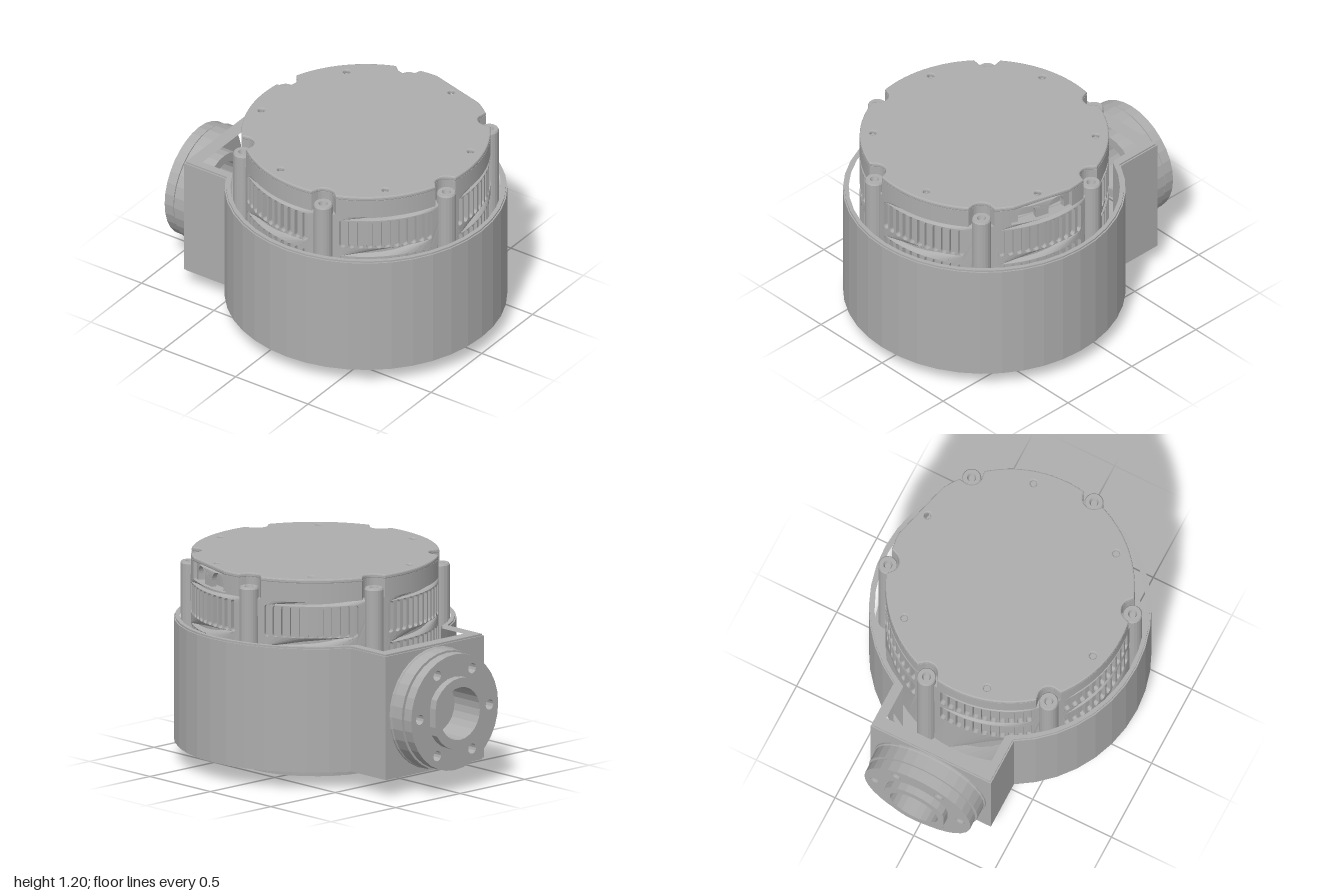
import * as THREE from 'three';

const DEG = Math.PI / 180;
const AXIS_Z = 0.2; // main axis of the round body
const grey = new THREE.MeshStandardMaterial({ color: 0xadadad, flatShading: true });
grey.name = 'machined grey';

function add(parent, name, geometry) {
  const mesh = new THREE.Mesh(geometry, grey);
  mesh.name = name;
  parent.add(mesh);
  return mesh;
}

const polar = (r, deg) => new THREE.Vector2(r * Math.cos(deg * DEG), r * Math.sin(deg * DEG));
const lathe = (points, sides) => new THREE.LatheGeometry(points.map(p => new THREE.Vector2(...p)), sides);

function circlePath(r, sides, x = 0, y = 0) {
  return new THREE.Path(Array.from({ length: sides }, (_, i) => {
    const p = polar(r, (i * 360) / sides);
    return p.set(p.x + x, p.y + y);
  }));
}

// Ring of six round holes
function sixHoles(shape, ring, r, offset) {
  for (let k = 0; k < 6; k++) {
    const p = polar(ring, offset + k * 60);
    shape.holes.push(circlePath(r, 12, p.x, p.y));
  }
}

// Flat plan shape raised from y0 to y1 (shape y points to -z)
function slab(shape, y0, y1, bevel = 0) {
  const g = new THREE.ExtrudeGeometry(shape, {
    depth: y1 - y0 - 2 * bevel, bevelEnabled: bevel > 0, bevelSize: bevel,
    bevelThickness: bevel, bevelOffset: -bevel, bevelSegments: 2,
  });
  g.translate(0, 0, y0 + bevel);
  return g.rotateX(-Math.PI / 2);
}

// Circle joined with a rectangular box at the back
function housingPlan(r, w, back) {
  const a = Math.acos(w / r) / DEG, pts = [], n = 34;
  for (let i = 0; i <= n; i++) pts.push(polar(r, a - (i / n) * (180 + 2 * a)));
  pts.push(new THREE.Vector2(-w, back), new THREE.Vector2(w, back));
  return pts;
}

// Slot with a round top and a round or flat bottom
function slot(u, y0, y1, w, flat = false) {
  const p = new THREE.Path();
  p.absarc(u, y1 - w, w, 0, Math.PI);
  if (flat) p.lineTo(u - w, y0).lineTo(u + w, y0);
  else p.absarc(u, y0 + w, w, Math.PI, 2 * Math.PI);
  p.closePath();
  return p;
}

// Pierced wall panel wrapped around the axis
function curvedPanel(centre, half, y0, y1, r0, r1, holes) {
  const n = 14, pts = [];
  const u = i => ((2 * i) / n - 1) * half * DEG * r1;
  for (let i = 0; i <= n; i++) pts.push(new THREE.Vector2(u(i), y0));
  for (let i = n; i >= 0; i--) pts.push(new THREE.Vector2(u(i), y1));
  const shape = new THREE.Shape(pts);
  shape.holes = holes;
  const g = new THREE.ExtrudeGeometry(shape, { depth: r1 - r0, bevelEnabled: false, curveSegments: 6 });
  const p = g.attributes.position;
  for (let i = 0; i < p.count; i++) {
    const a = centre * DEG + p.getX(i) / r1, r = r0 + p.getZ(i);
    p.setXYZ(i, r * Math.cos(a), p.getY(i), -r * Math.sin(a));
  }
  g.computeVertexNormals();
  return g;
}

// Lid outline: notched at the lugs, flat on one side, optionally dented behind the windows
function lidShape(dented) {
  const pts = [];
  for (let a = 0; a < 360; a++) {
    const lug = (((a - 15) % 60) + 90) % 60 - 30;
    const side = ((a + 15 + 180) % 360) - 180;
    let r = 0.705;
    if (Math.abs(side) < 15) r *= Math.cos(15 * DEG) / Math.cos(side * DEG);
    if (dented && Math.abs(side) < 16) r = 0.62;
    const s = 0.71 * Math.sin(lug * DEG), n = 0.066;
    if (Math.abs(s) < n) r = Math.min(r, 0.71 * Math.cos(lug * DEG) - Math.sqrt(n * n - s * s));
    pts.push(polar(r, a));
  }
  return new THREE.Shape(pts);
}

function buildHousing() {
  const g = new THREE.Group();
  g.name = 'housing';
  // Floor with bore and mounting holes
  const floor = new THREE.Shape(housingPlan(0.79, 0.372, 0.982));
  floor.holes.push(circlePath(0.44, 36));
  sixHoles(floor, 0.63, 0.042, -5);
  add(g, 'housingFloor', slab(floor, 0.1, 0.16));
  // Outer wall and its slightly inset rim
  const layers = [['housingWall', 0, 0.11, 0.82], ['housingRim', 0.008, 0.82, 0.83]];
  for (const [name, inset, y0, y1] of layers) {
    const s = new THREE.Shape(housingPlan(0.8 - inset, 0.382 - inset, 0.99 - inset));
    s.holes.push(new THREE.Path(housingPlan(0.768, 0.325, 0.91)));
    add(g, name, slab(s, y0, y1));
  }
  // Flared foot with stepped bore
  add(g, 'foot', lathe([
    [0.32, 0.23], [0.33, 0.17], [0.37, 0.17], [0.37, 0.1], [0.415, 0.1], [0.415, 0],
    [0.46, 0], [0.462, 0.025], [0.475, 0.06], [0.5, 0.085], [0.55, 0.102],
  ], 36));
  return g;
}

function buildMotor() {
  const g = new THREE.Group();
  g.name = 'motor';
  add(g, 'core', new THREE.CylinderGeometry(0.68, 0.68, 0.79, 60).translate(0, 0.675, 0));
  // Base plate with hexagonal recess
  const base = new THREE.Shape(circlePath(0.68, 48).getPoints());
  base.holes.push(circlePath(0.215, 6));
  sixHoles(base, 0.275, 0.02, 15);
  add(g, 'basePlate', slab(base, 0.22, 0.28));

  for (let k = 0; k < 6; k++) {
    // Vented wall, two rows of slots
    const slots = [];
    for (let i = -5; i <= 5; i++) {
      const u = i * 4.15 * DEG * 0.705;
      slots.push(slot(u, 0.86, 1.045, 0.018), slot(u, 0.62, 0.805, 0.018));
    }
    add(g, 'ventedWall', curvedPanel(45 + k * 60, 30, 0.22, 1.075, 0.675, 0.705, slots));
    // Screw lug
    const p = polar(0.687, 15 + k * 60);
    add(g, 'screwLug', lathe([
      [0.055, 0.22], [0.055, 1.13], [0.049, 1.14], [0.026, 1.14], [0.018, 1.115], [0, 1.115],
    ], 20)).position.set(p.x * 1.03, 0, -p.y * 1.03);
  }

  // Lid with small holes and two arched side windows
  add(g, 'lidBody', slab(lidShape(true), 1.07, 1.18));
  const top = lidShape(false);
  sixHoles(top, 0.63, 0.019, 45);
  add(g, 'lidTop', slab(top, 1.176, 1.203, 0.008));
  const windows = [-8, 8].map(a => slot(a * DEG * 0.685, 1.078, 1.17, 0.055, true));
  add(g, 'windowWall', curvedPanel(-15, 17, 1.07, 1.18, 0.655, 0.685, windows));
  return g;
}

function buildSideFlange() {
  const g = new THREE.Group();
  g.name = 'sideFlange';
  // Stepped collar
  add(g, 'collar', lathe([
    [0.352, 0.78], [0.352, 0.8], [0.345, 0.805], [0.345, 0.885], [0.325, 0.885], [0.325, 0.895], [0.2, 0.895],
  ], 32));
  // Bolt face
  const face = new THREE.Shape(circlePath(0.337, 32).getPoints());
  face.holes.push(circlePath(0.18, 24));
  sixHoles(face, 0.27, 0.03, 0);
  add(g, 'boltFace', slab(face, 0.895, 0.955));
  // Bored boss with two flats
  const boss = new THREE.Shape(circlePath(0.208, 24).getPoints().map(p =>
    p.set(THREE.MathUtils.clamp(p.x, -0.19, 0.19), p.y)));
  boss.holes.push(circlePath(0.153, 24));
  add(g, 'boss', slab(boss, 0.78, 1));
  g.rotation.x = -Math.PI / 2;
  g.position.y = 0.465;
  return g;
}

export function createModel() {
  const model = new THREE.Group();
  model.name = 'motorHousing';
  const housing = buildHousing(), motor = buildMotor();
  housing.position.z = motor.position.z = AXIS_Z;
  model.add(housing, motor, buildSideFlange());
  return model;
}
